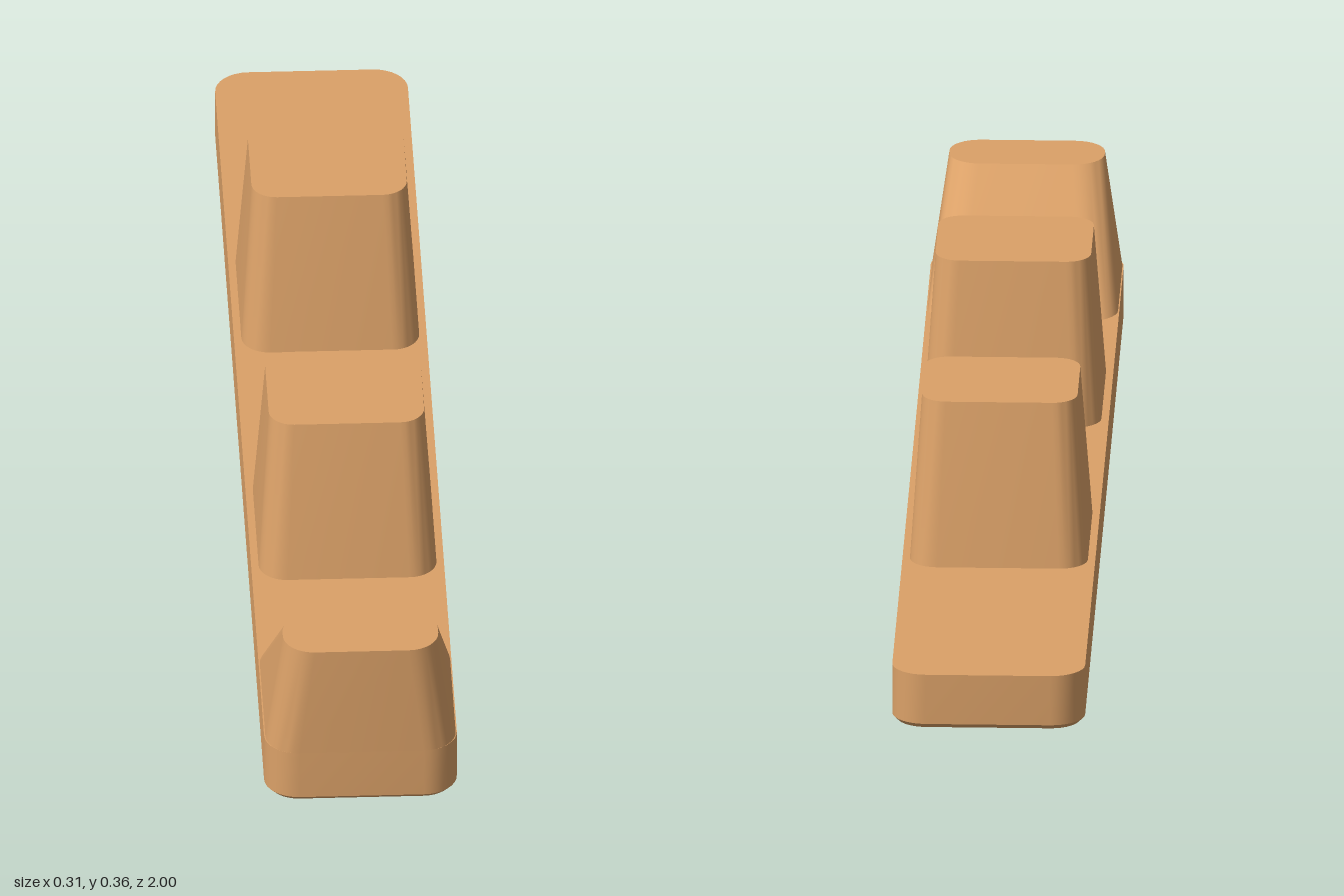
import * as THREE from 'three';
import { toCreasedNormals } from 'three/addons/utils/BufferGeometryUtils.js';

const CORNER = 8; // segments per rounded corner

// Rounded rectangle in the x-z plane: half width w, from z0 to z1, corner radius r
function ring(w, z0, z1, r, y) {
  const points = [];
  const signs = [[1, 1], [-1, 1], [-1, -1], [1, -1]];
  signs.forEach(([sx, sz], k) => {
    const cx = sx * (w - r);
    const cz = sz > 0 ? z1 - r : z0 + r;
    for (let j = 0; j <= CORNER; j++) {
      const a = (k + j / CORNER) * Math.PI / 2;
      points.push(new THREE.Vector3(cx + r * Math.cos(a), y, cz + r * Math.sin(a)));
    }
  });
  return points;
}

// Skin through the rings from bottom to top, closed on top only
function loft(rings) {
  const pos = [];
  const tri = (...corners) => corners.forEach((p) => pos.push(p.x, p.y, p.z));
  const n = rings[0].length;
  for (let i = 0; i < rings.length - 1; i++) {
    for (let j = 0; j < n; j++) {
      const k = (j + 1) % n;
      const [lo, hi] = [rings[i], rings[i + 1]];
      tri(lo[j], hi[j], lo[k]);
      tri(lo[k], hi[j], hi[k]);
    }
  }
  const top = rings[rings.length - 1];
  const centre = top.reduce((s, p) => s.add(p), new THREE.Vector3()).divideScalar(n);
  for (let j = 0; j < n; j++) tri(centre, top[(j + 1) % n], top[j]);
  const geometry = new THREE.BufferGeometry();
  geometry.setAttribute('position', new THREE.Float32BufferAttribute(pos, 3));
  return toCreasedNormals(geometry, 0.5);
}

export function createModel() {
  const model = new THREE.Group();
  model.name = 'peggedBar';
  const tan = new THREE.MeshStandardMaterial({ color: 0xdba168 });
  tan.name = 'tan';

  const add = (name, geometry, parent = model) => {
    const mesh = new THREE.Mesh(geometry, tan);
    mesh.name = name;
    parent.add(mesh);
    return mesh;
  };

  // Base bar with a small chamfer around the underside
  const baseTop = 0.092;
  const chamfer = 0.008;
  const bottomRing = ring(0.155 - chamfer, -1 + chamfer, 1 - chamfer, 0.047, 0);
  add('baseBar', loft([
    bottomRing,
    ring(0.155, -1, 1, 0.055, chamfer),
    ring(0.155, -1, 1, 0.055, baseTop),
  ]));

  // Underside, pierced by a row of round recesses
  const holeRadius = 0.061;
  const holeDepth = 0.07;
  const holeZ = Array.from({ length: 9 }, (_, i) => (i - 4) * 0.217);
  const underside = new THREE.Shape(bottomRing.map((p) => new THREE.Vector2(p.x, p.z)));
  holeZ.forEach((z) => {
    const hole = new THREE.Path();
    hole.absarc(0, z, holeRadius, 0, Math.PI * 2, true);
    underside.holes.push(hole);
  });
  add('underside', new THREE.ShapeGeometry(underside, 16).rotateX(Math.PI / 2));

  // Recess walls and floors
  const recesses = new THREE.Group();
  recesses.name = 'recesses';
  model.add(recesses);
  const recess = toCreasedNormals(new THREE.LatheGeometry([
    new THREE.Vector2(0, holeDepth),
    new THREE.Vector2(holeRadius, holeDepth),
    new THREE.Vector2(holeRadius, 0),
  ], 32), 0.5);
  holeZ.forEach((z) => { add('recess', recess, recesses).position.z = z; });

  // Two tapered pegs
  const peg = loft([
    ring(0.143, -0.157, 0.157, 0.045, baseTop),
    ring(0.125, -0.107, 0.107, 0.04, 0.357),
  ]);
  add('frontPeg', peg).position.z = 0.334;
  add('backPeg', peg).position.z = -0.334;

  // End stop: upright front face, sloping back
  add('endStop', loft([
    ring(0.153, 0.68, 1, 0.053, baseTop),
    ring(0.125, 0.887, 1, 0.05, 0.285),
  ]));

  return model;
}
